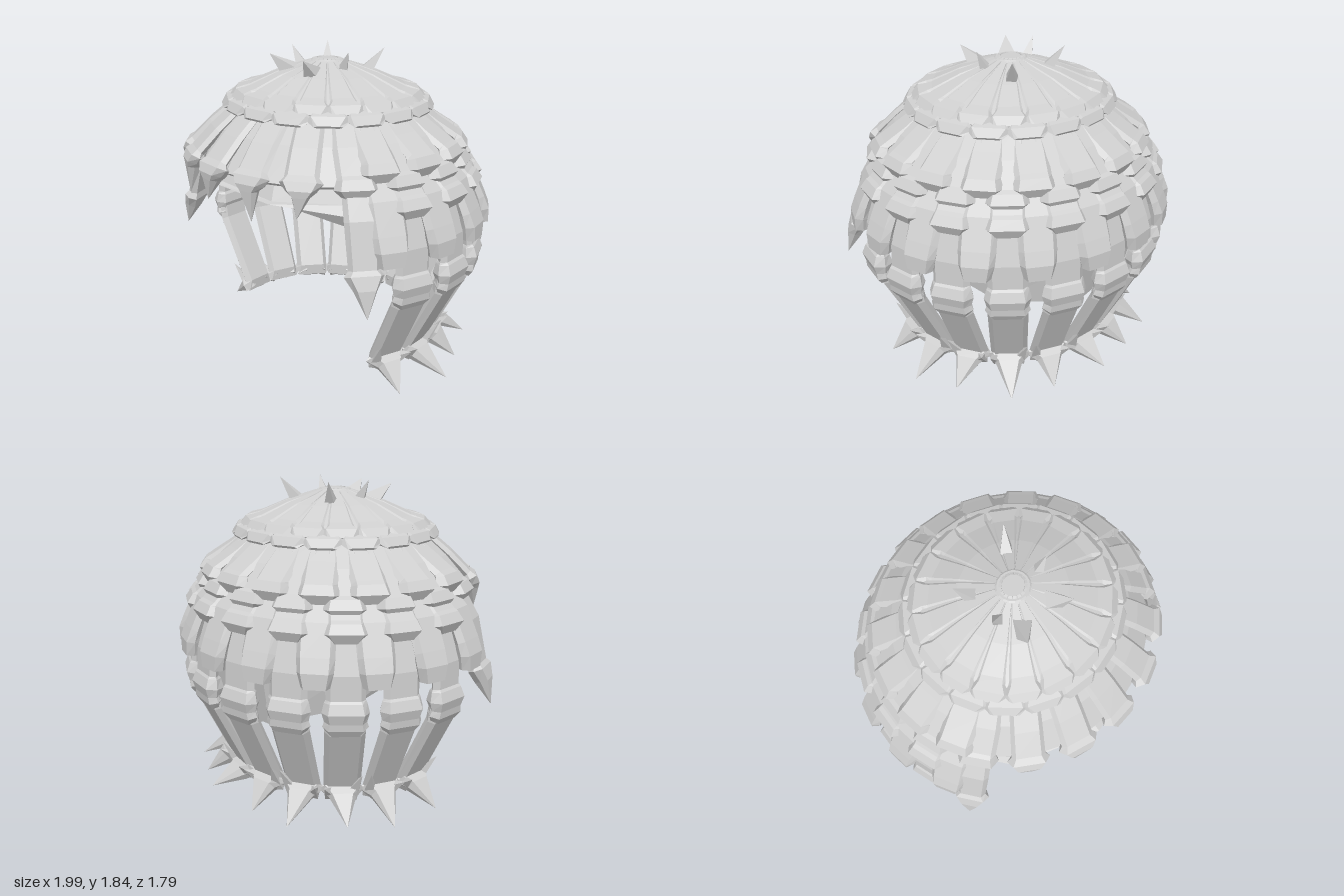
import * as THREE from 'three';

const grey = new THREE.MeshStandardMaterial({ color: 0xcfcfcf, flatShading: true, side: THREE.DoubleSide });
grey.name = 'light grey';

const rad = (deg) => deg * Math.PI / 180;
// Compass directions around the head, 0 degrees at the back
const outward = (deg) => new THREE.Vector3(Math.sin(rad(deg)), 0, -Math.cos(rad(deg)));
const sideways = (deg) => new THREE.Vector3(Math.cos(rad(deg)), 0, Math.sin(rad(deg)));

function meshFrom(name, pos, idx) {
  const g = new THREE.BufferGeometry();
  g.setAttribute('position', new THREE.Float32BufferAttribute(pos, 3));
  g.setIndex(idx);
  g.computeVertexNormals();
  const m = new THREE.Mesh(g, grey);
  m.name = name;
  return m;
}

// Six-sided lock of hair: points are [radius, height, half width, half thickness, sideways shift]
function lock(name, deg, pts) {
  const R = outward(deg), T = sideways(deg), pos = [], idx = [];
  pts.forEach(([r, y, w, t, shift = 0], i) => {
    const a = pts[Math.max(i - 1, 0)], b = pts[Math.min(i + 1, pts.length - 1)];
    const len = Math.hypot(b[0] - a[0], b[1] - a[1]) || 1;
    const nr = -(b[1] - a[1]) / len, ny = (b[0] - a[0]) / len;
    for (const [u, v] of [[-1, 0], [-0.75, 1], [0.75, 1], [1, 0], [0.75, -1], [-0.75, -1]]) {
      const p = R.clone().multiplyScalar(r + nr * v * t).addScaledVector(T, u * w + shift);
      pos.push(p.x, y + ny * v * t, p.z);
    }
  });
  const last = (pts.length - 1) * 6;
  for (let i = 0; i < last; i += 6) {
    for (let j = 0; j < 6; j++) {
      const k = (j + 1) % 6;
      idx.push(i + j, i + k, i + 6 + k, i + j, i + 6 + k, i + 6 + j);
    }
  }
  for (let j = 1; j < 5; j++) idx.push(0, j + 1, j, last, last + j, last + j + 1);
  return meshFrom(name, pos, idx);
}

// Lens-shaped collar that closes a lock
const collar = (r, y, w) => [
  [r - 0.02, y + 0.055, w, 0.025],
  [r - 0.015, y + 0.045, w * 1.02, 0.04],
  [r, y, w * 1.2, 0.058],
  [r, y - 0.045, w * 0.75, 0.03],
];

// Faceted inner cap with a rim that rises towards the forehead
function innerCap() {
  const pos = [], idx = [], n = 10;
  const rows = [[0.1, 1.74], [0.5, 1.57], [0.7, 1.35], [0.79, 1.15]];
  for (let j = 0; j < n; j++) {
    const deg = 9 + j * 36, rim = 0.845 - 0.335 * Math.cos(rad(deg));
    const column = [...rows.map(([r, y]) => [r, Math.max(y, rim + 0.01)]),
      [0.83, Math.min(1.15, rim + (1.15 - rim) * 0.45 + 0.02)], [0.77, rim]];
    for (const [r, y] of column) {
      const p = outward(deg).multiplyScalar(r);
      pos.push(p.x, Math.max(y, rim), p.z);
    }
  }
  for (let j = 0; j < n; j++) {
    const a = j * 6, b = ((j + 1) % n) * 6;
    for (let i = 0; i < 5; i++) idx.push(a + i, b + i, b + i + 1, a + i, b + i + 1, a + i + 1);
  }
  return meshFrom('innerCap', pos, idx);
}

// Four-sided thorn between two points
function thorn(name, from, to, radius) {
  const dir = to.clone().sub(from);
  const g = new THREE.ConeGeometry(radius, dir.length(), 4);
  const m = new THREE.Mesh(g, grey);
  m.name = name;
  m.position.copy(from).addScaledVector(dir, 0.5);
  m.quaternion.setFromUnitVectors(new THREE.Vector3(0, 1, 0), dir.normalize());
  return m;
}

export function createModel() {
  const model = new THREE.Group();
  model.name = 'wig';
  const hair = new THREE.Group();
  hair.name = 'hair';
  hair.scale.z = 0.95;
  hair.position.z = 0.05;
  model.add(hair);
  hair.add(innerCap());

  // Crown: small button with two staggered rings of wedge locks
  const button = new THREE.Mesh(new THREE.CylinderGeometry(0.09, 0.13, 0.03, 18), grey);
  button.name = 'crownButton';
  button.position.y = 1.775;
  hair.add(button);
  for (let i = 0; i < 36; i++) {
    hair.add(lock('crownLock', i * 10, i % 2 ? [
      [0.06, 1.78, 0.012, 0.01], [0.3, 1.7, 0.055, 0.012], [0.48, 1.62, 0.085, 0.014],
      [0.55, 1.585, 0.1, 0.014], [0.595, 1.56, 0.125, 0.026], [0.635, 1.53, 0.08, 0.008],
    ] : [
      [0.06, 1.785, 0.012, 0.01], [0.3, 1.705, 0.055, 0.013], [0.46, 1.635, 0.08, 0.015],
      [0.49, 1.62, 0.085, 0.022], [0.535, 1.6, 0.115, 0.03], [0.585, 1.575, 0.08, 0.01],
    ]));
  }

  for (let i = -8; i <= 9; i++) {
    const deg = i * 20, away = Math.abs(deg), lean = (i % 2 ? 0.02 : -0.02) * Math.sign(i);

    if (away <= 120) {
      // Upper tier with collars
      hair.add(lock('upperLock', deg, [[0.5, 1.57, 0.08, 0.02], [0.68, 1.42, 0.1, 0.025], ...collar(0.815, 1.25, 0.1)]));
    }
    if (away <= 100) {
      // Middle and lower tiers
      hair.add(lock('middleLock', deg, [[0.7, 1.36, 0.1, 0.02], ...collar(0.885, 1.14, 0.105)]));
      hair.add(lock('lowerLock', deg, [
        [0.83, 1.16, 0.1, 0.025], [0.9, 0.92, 0.11, 0.03], [0.905, 0.79, 0.11, 0.03], [0.905, 0.775, 0.118, 0.042],
        [0.91, 0.72, 0.132, 0.058], [0.91, 0.67, 0.118, 0.042], [0.905, 0.64, 0.128, 0.045], [0.89, 0.6, 0.1, 0.035],
      ]));
      // Long hanging locks with flared thorny ends
      hair.add(lock('longLock', deg, [
        [0.9, 0.72, 0.11, 0.035], [0.88, 0.6, 0.115, 0.035], [0.665, 0.18, 0.11, 0.035],
        [0.67, 0.16, 0.135, 0.05], [0.72, 0.13, 0.08, 0.045], [i % 2 ? 0.86 : 0.91, i ? 0.015 : 0.07, 0, 0, lean],
      ]));
      // One tall thorn and one short thorn beside each tip
      for (const s of [-1, 1]) {
        const tall = s * (lean || 1) > 0;
        const from = outward(deg).multiplyScalar(0.66).addScaledVector(sideways(deg), s * 0.06).setY(0.13);
        const to = outward(deg).multiplyScalar(0.78).addScaledVector(sideways(deg), s * 0.11).setY(tall ? 0.29 : 0.21);
        hair.add(thorn('lockThorn', from, to, 0.055));
      }
    } else if (away === 120) {
      // Temple locks
      hair.add(lock('templeLock', deg - Math.sign(deg), [
        [0.78, 1.28, 0.09, 0.03], [0.89, 1.1, 0.095, 0.03], [0.95, 0.86, 0.085, 0.03],
        [0.96, 0.83, 0.11, 0.045], [0.99, 0.76, 0.065, 0.04], [1.04, 0.62, 0, 0],
      ]));
    } else {
      // Fringe locks with pointed tips
      hair.add(lock('fringeLock', deg, [
        [0.52, 1.57, 0.08, 0.02], [0.7, 1.42, 0.09, 0.025], [0.815, 1.31, 0.095, 0.025],
        [0.83, 1.285, 0.12, 0.045], [0.845, 1.245, 0.085, 0.05], [0.85, 1.215, 0.05, 0.04],
        [0.87, away === 160 ? 1.05 : 1.1, 0, 0, lean],
      ]));
    }

    // Staggered locks between the main rows
    const mid = deg - 10, midAway = Math.abs(mid);
    if (midAway <= 110) {
      hair.add(lock('staggeredUpperLock', mid, [[0.5, 1.56, 0.08, 0.02], [0.65, 1.45, 0.1, 0.025], ...collar(0.79, 1.32, 0.1)]));
      hair.add(lock('staggeredLowerLock', mid, [
        [0.72, 1.33, 0.1, 0.02], [0.86, 1.18, 0.105, 0.03], [0.93, 1.02, 0.105, 0.035],
        [0.95, 0.95, 0.1, 0.045], [0.95, 0.87, 0.08, 0.045],
      ]));
    } else {
      hair.add(lock('staggeredFringeLock', mid, [[0.5, 1.56, 0.08, 0.02], [0.66, 1.42, 0.09, 0.02], [0.79, 1.25, 0.09, 0.015]]));
    }
  }

  // Ring of thorns on the crown
  const thorns = [[-0.15, -0.13], [0.13, -0.17], [-0.15, 0.05], [0.14, 0.02], [-0.12, 0.18], [0.09, 0.19]];
  thorns.forEach(([x, z], i) => {
    const front = i > 3;
    const from = new THREE.Vector3(x, front ? 1.71 : 1.69, z);
    const to = new THREE.Vector3(x * 1.6, front ? 1.82 : 1.85, z * 1.6);
    hair.add(thorn('crownThorn', from, to, front ? 0.075 : 0.06));
  });

  return model;
}
